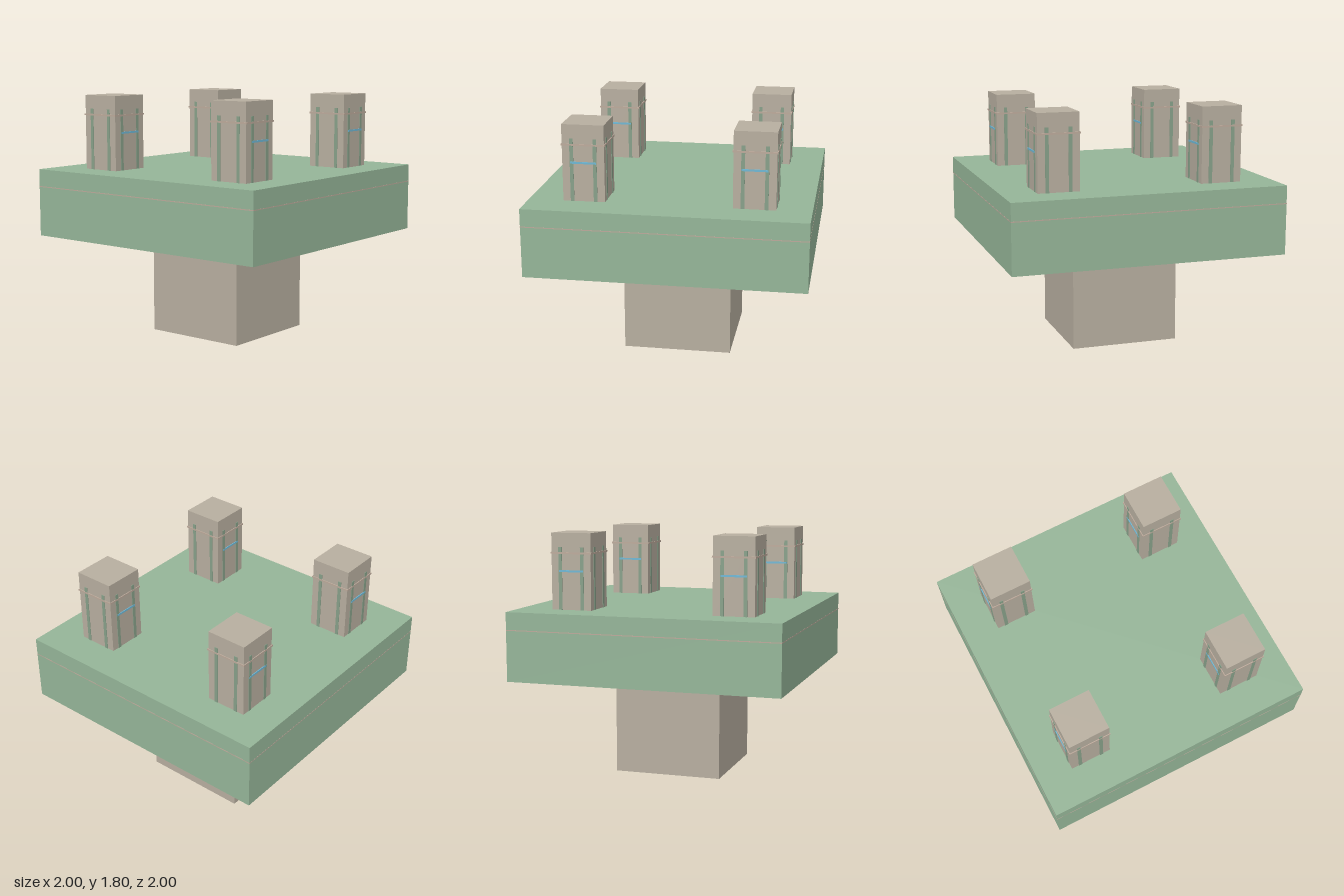
import * as THREE from 'three';

const flat = (name, color) => {
  const m = new THREE.MeshStandardMaterial({ color });
  m.name = name;
  return m;
};

export function createModel() {
  const stone = flat('stone', 0xb7ae9f);
  const green = flat('green', 0x95b598);
  const darkGreen = flat('dark green', 0x87a089);
  const trim = flat('trim', 0xbcaa9b);
  const blue = flat('blue', 0x6fb7d4);

  const model = new THREE.Group();
  model.name = 'platform';

  // Adds a box standing on the given bottom height
  const box = (parent, name, mat, w, h, d, x, bottom, z) => {
    const mesh = new THREE.Mesh(new THREE.BoxGeometry(w, h, d), mat);
    mesh.name = name;
    mesh.position.set(x, bottom + h / 2, z);
    parent.add(mesh);
    return mesh;
  };

  // Pedestal and broad slab
  box(model, 'pedestal', stone, 0.8, 0.75, 0.8, 0, 0, 0);
  box(model, 'pedestalTrim', trim, 0.804, 0.014, 0.804, 0, 0.735, 0);
  box(model, 'slab', green, 1.998, 0.5, 1.998, 0, 0.75, 0);
  box(model, 'slabLine', trim, 2, 0.007, 2, 0, 1.117, 0);

  // Four corner towers
  for (const x of [-0.6, 0.6]) {
    for (const z of [-0.6, 0.6]) {
      const tower = new THREE.Group();
      tower.name = 'tower';
      tower.position.set(x, 1.25, z);
      model.add(tower);
      box(tower, 'towerBody', stone, 0.3, 0.55, 0.3, 0, 0, 0);
      box(tower, 'towerBand', trim, 0.312, 0.013, 0.312, 0, 0.4, 0);

      // Two upright strips on each of the four faces
      for (let i = 0; i < 4; i++) {
        const face = new THREE.Group();
        face.name = 'towerFace';
        face.rotation.y = (i * Math.PI) / 2;
        tower.add(face);
        for (const s of [-1, 1]) {
          box(face, 'uprightStrip', darkGreen, 0.026, 0.45, 0.005, s * 0.083, 0, 0.1515);
        }
        // Blue crossbar on the front and back faces
        if (i % 2 === 0) box(face, 'crossbar', blue, 0.184, 0.014, 0.008, 0, 0.271, 0.152);
      }
    }
  }
  return model;
}
